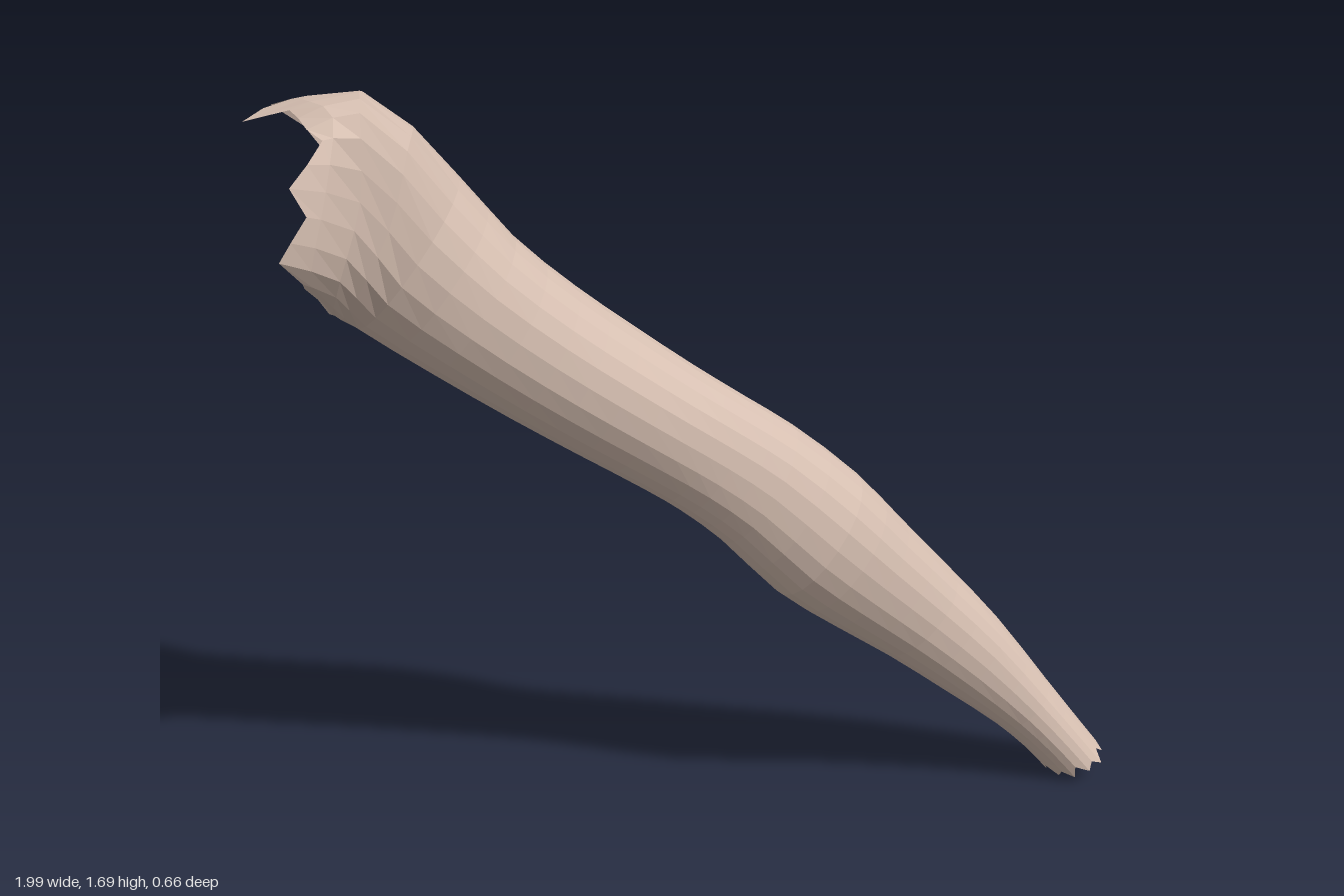
import * as THREE from 'three';

const SIDES = 24;   // facets around the limb
const STEPS = 2;    // rows between neighbouring sections

// Limb sections: upper edge x,y, lower edge x,y, back z, front z
const sections = [
  [-0.54, 1.50, -0.78, 1.17, -0.32, 0.085],
  [-0.42, 1.36, -0.62, 1.06, -0.32, 0.08],
  [-0.28, 1.24, -0.45, 0.95, -0.315, 0.085],
  [-0.15, 1.145, -0.30, 0.86, -0.30, 0.10],
  [-0.02, 1.055, -0.15, 0.775, -0.24, 0.12],
  [0.09, 0.985, -0.06, 0.72, -0.17, 0.135],
  [0.20, 0.915, 0.03, 0.65, -0.145, 0.16],
  [0.35, 0.795, 0.16, 0.52, -0.135, 0.19],
  [0.47, 0.67, 0.29, 0.43, -0.125, 0.175],
  [0.60, 0.535, 0.43, 0.34, -0.12, 0.155],
  [0.72, 0.405, 0.58, 0.235, -0.105, 0.148],
  [0.84, 0.25, 0.72, 0.135, -0.08, 0.148],
  [0.93, 0.135, 0.80, 0.065, -0.065, 0.155],
  [0.99, 0.06, 0.86, 0.0, -0.06, 0.16],
];

// Shoulder loops, ordered top, front, bottom, back
const shoulderRim = [
  [-1.0, 1.63, -0.08], [-0.88, 1.63, 0.12], [-0.93, 1.53, 0.27], [-0.96, 1.39, 0.32],
  [-0.89, 1.30, 0.10], [-0.86, 1.28, -0.12], [-0.80, 1.46, -0.30], [-0.93, 1.65, -0.25],
];
const shoulderCap = [
  [-0.75, 1.69, -0.08], [-0.77, 1.66, 0.11], [-0.78, 1.48, 0.14], [-0.83, 1.32, 0.16],
  [-0.84, 1.23, 0.03], [-0.83, 1.23, -0.15], [-0.73, 1.40, -0.325], [-0.71, 1.62, -0.315],
];

function loopRing(points) {
  const curve = new THREE.CatmullRomCurve3(points.map(p => new THREE.Vector3(...p)), true);
  return Array.from({ length: SIDES }, (_, i) => curve.getPoint(i / SIDES));
}

function sectionRing([tx, ty, bx, by, back, front]) {
  const round = v => Math.sign(v) * Math.pow(Math.abs(v), 0.93);
  return Array.from({ length: SIDES }, (_, i) => {
    const a = (i / SIDES) * Math.PI * 2;
    const c = round(Math.cos(a)) / 2, s = round(Math.sin(a)) / 2;
    return new THREE.Vector3(
      (tx + bx) / 2 + (tx - bx) * c,
      (ty + by) / 2 + (ty - by) * c,
      (front + back) / 2 + (front - back) * s);
  });
}

function limbGeometry() {
  const rings = [loopRing(shoulderRim), loopRing(shoulderCap), ...sections.map(sectionRing)];
  const rows = (rings.length - 1) * STEPS;
  const positions = [], index = [];

  // One lengthwise curve for each side
  for (let i = 0; i < SIDES; i++) {
    const line = new THREE.CatmullRomCurve3(rings.map(r => r[i]));
    const column = Array.from({ length: rows + 1 }, (_, j) => line.getPoint(j / rows));
    // Ragged open ends
    column[0].lerp(column[1], [0, 0.6, 0.3][i % 3]);
    column[rows].lerp(column[rows - 1], [0, 0.5, 0.1, 0.7][i % 4]);
    column.forEach(p => positions.push(p.x, p.y, p.z));
  }

  const at = (i, j) => (i % SIDES) * (rows + 1) + j;
  for (let i = 0; i < SIDES; i++) {
    for (let j = 0; j < rows; j++) {
      const a = at(i, j), b = at(i + 1, j), c = at(i + 1, j + 1), d = at(i, j + 1);
      index.push(a, b, c, a, c, d);
    }
  }
  const geometry = new THREE.BufferGeometry();
  geometry.setAttribute('position', new THREE.Float32BufferAttribute(positions, 3));
  geometry.setIndex(index);
  geometry.computeVertexNormals();
  return geometry;
}

export function createModel() {
  const skin = new THREE.MeshStandardMaterial({
    color: 0xd6bfb1, flatShading: true, side: THREE.DoubleSide,
  });
  skin.name = 'skin';

  const arm = new THREE.Mesh(limbGeometry(), skin);
  arm.name = 'arm';

  const model = new THREE.Group();
  model.name = 'armModel';
  model.add(arm);
  return model;
}
